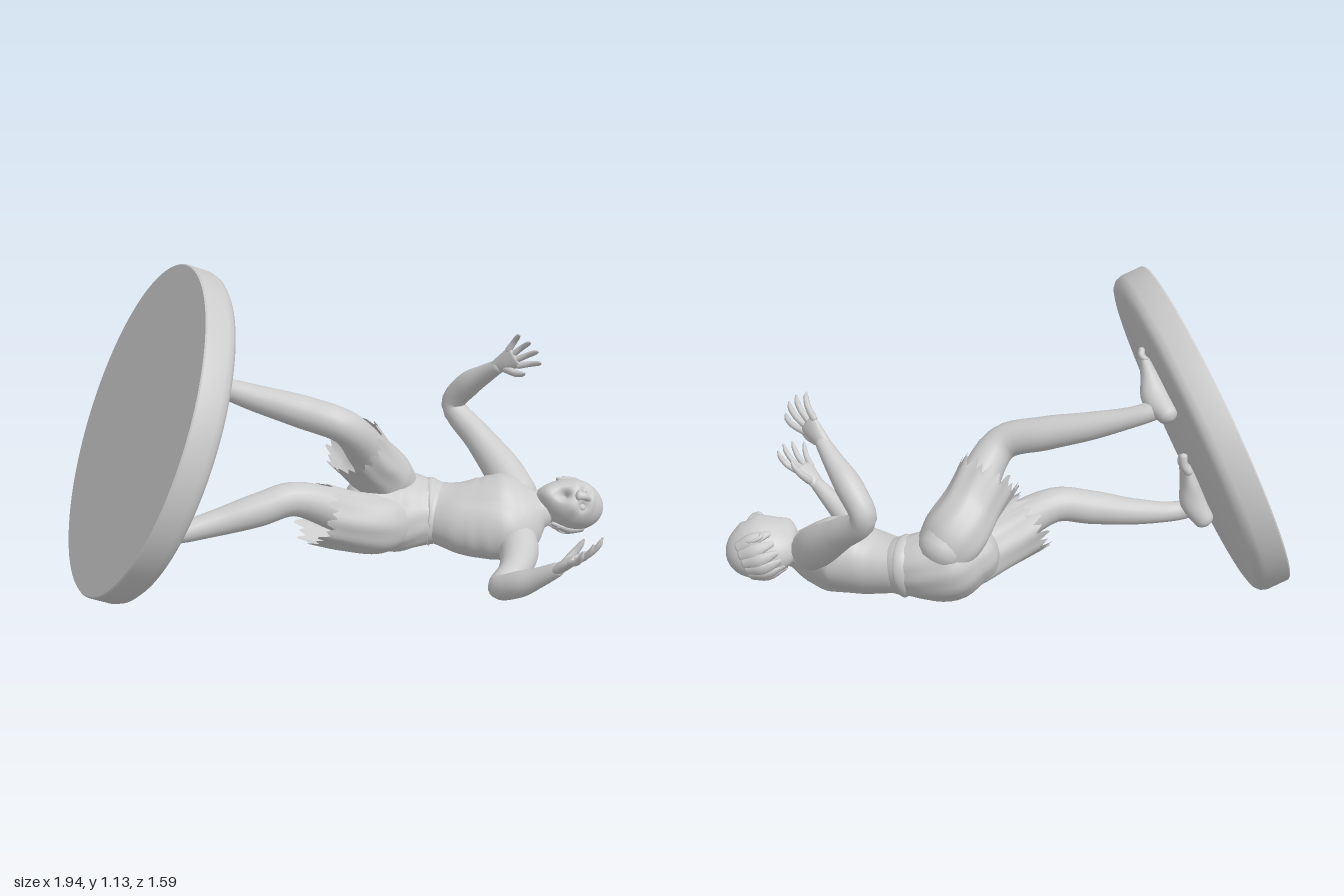
import * as THREE from 'three';
import { toCreasedNormals } from 'three/addons/utils/BufferGeometryUtils.js';

const V = (x, y, z) => new THREE.Vector3(x, y, z);
const material = new THREE.MeshStandardMaterial({ color: 0xcccccc });
const clothMaterial = new THREE.MeshStandardMaterial({ color: 0xcccccc, side: THREE.DoubleSide });

// The figure's own axes: it stands on a tilted disc
const UP = V(0.615, -0.37, -0.69).normalize();
const FRONT = V(0.73, 0.64, 0.31).normalize();

function add(parent, name, geometry, mat = material) {
  const mesh = new THREE.Mesh(geometry, mat);
  mesh.name = name;
  parent.add(mesh);
  return mesh;
}

// Smooth body along points [x, y, z, halfWidth, halfDepth]; depth lies towards the hint.
// bump(u, angle) scales the radius; ragged > 0 leaves the ends open with a torn hem.
function loft(points, hint, { sides = 20, steps = 5, bump = () => 1, ragged = 0 } = {}) {
  const curve = new THREE.CatmullRomCurve3(points.map(p => V(p[0], p[1], p[2])));
  const size = new THREE.CatmullRomCurve3(points.map(p => V(p[3], p[4] ?? p[3], 0)));
  const n = (points.length - 1) * steps, rings = [];
  for (let i = 0; i <= n; i++) {
    const u = i / n, s = size.getPoint(u);
    rings.push({ u, c: curve.getPoint(u), t: curve.getTangent(u), a: s.x, b: s.y });
  }
  if (!ragged) {
    const cap = (r, dir, k) => {
      const w = k * Math.PI / 8, m = Math.min(r.a, r.b) * 0.8, f = Math.max(Math.cos(w), 0.01);
      return { ...r, c: r.c.clone().addScaledVector(r.t, dir * m * Math.sin(w)), a: r.a * f, b: r.b * f };
    };
    const first = rings[0], last = rings[n];
    for (let k = 1; k <= 4; k++) {
      rings.unshift(cap(first, -1, k));
      rings.push(cap(last, 1, k));
    }
  }
  const pos = [], index = [];
  rings.forEach((r, i) => {
    const side = r.t.clone().cross(hint).normalize(), depth = side.clone().cross(r.t);
    for (let j = 0; j < sides; j++) {
      const w = j / sides * Math.PI * 2, k = bump(r.u, w);
      const p = r.c.clone().addScaledVector(depth, r.b * k * Math.cos(w)).addScaledVector(side, r.a * k * Math.sin(w));
      if (ragged && i === rings.length - 1) p.addScaledVector(r.t, ragged * [1, -0.6, 0.4, -1, 0.7][j % 5]);
      pos.push(p.x, p.y, p.z);
      if (i < rings.length - 1) {
        const q = i * sides + j, s = i * sides + (j + 1) % sides;
        index.push(q, s, q + sides, s, s + sides, q + sides);
      }
    }
  });
  const g = new THREE.BufferGeometry();
  g.setAttribute('position', new THREE.Float32BufferAttribute(pos, 3));
  g.setIndex(index);
  g.computeVertexNormals();
  return g;
}

const row = (v, a, b = a) => [v.x, v.y, v.z, a, b];
const hill = (d, w) => Math.exp(-(d * d) / (w * w));

function makeBase() {
  const R = 0.588;
  const profile = [[0, -0.06], [R - 0.004, -0.06], [R, -0.055], [R, 0.02], [R - 0.007, 0.041], [R - 0.022, 0.055], [R - 0.04, 0.06], [0, 0.06]];
  const g = new THREE.LatheGeometry(profile.map(p => new THREE.Vector2(...p)), 96);
  const base = new THREE.Mesh(toCreasedNormals(g, 0.6), material);
  base.name = 'roundBase';
  base.quaternion.setFromUnitVectors(V(0, 1, 0), UP);
  base.position.set(-0.5, 0.57, 0.33);
  return base;
}

// Foot lying on the disc, pointing from heel to toe
function makeFoot(name, heel, toe, big) {
  const foot = new THREE.Group();
  foot.name = name;
  const dir = toe.clone().sub(heel).normalize(), side = dir.clone().cross(UP);
  const at = (t, h) => heel.clone().lerp(toe, t).addScaledVector(UP, h);
  add(foot, 'sole', loft([row(at(0.08, 0.035), 0.034, 0.036), row(at(0.35, 0.045), 0.037, 0.045),
    row(at(0.6, 0.03), 0.047, 0.032), row(at(0.8, 0.02), 0.05, 0.02)], UP));
  for (let i = 0; i < 5; i++) {
    const off = (i - 2) * 0.021 * big, r = i === 0 ? 0.015 : 0.011;
    const a = at(0.78, 0.018).addScaledVector(side, off), b = at(1 - i * 0.025, 0.014).addScaledVector(side, off * 1.15);
    add(foot, 'toe', loft([row(a, r), row(a.clone().lerp(b, 0.5).addScaledVector(UP, 0.008), r), row(b, r)], UP, { sides: 10, steps: 3 }));
  }
  return foot;
}

// Open hand with clawed fingers; thumb points along the side axis
function makeHand(name, wrist, dir, palm, thumbSide) {
  const hand = new THREE.Group();
  hand.name = name;
  dir.normalize();
  const side = dir.clone().cross(palm).normalize().multiplyScalar(thumbSide);
  const normal = palm.clone().normalize();
  const at = (l, s, h) => wrist.clone().addScaledVector(dir, l).addScaledVector(side, s).addScaledVector(normal, h);
  add(hand, 'palm', loft([row(at(-0.02, 0, 0), 0.024, 0.02), row(at(0.03, 0, 0), 0.034, 0.019), row(at(0.075, 0, 0), 0.042, 0.014)], normal));
  [0.1, 0.115, 0.108, 0.085].forEach((len, i) => {
    const s = (1.5 - i) * 0.022;
    add(hand, 'finger', loft([row(at(0.07, s, 0), 0.012), row(at(0.07 + len * 0.45, s * 1.5, -0.006), 0.0105),
      row(at(0.07 + len * 0.8, s * 1.8, 0.004), 0.009), row(at(0.07 + len, s * 1.9, 0.018), 0.003)], normal, { sides: 10, steps: 3 }));
  });
  add(hand, 'thumb', loft([row(at(0.02, 0.022, 0.004), 0.016), row(at(0.055, 0.05, 0.02), 0.013),
    row(at(0.085, 0.062, 0.032), 0.01), row(at(0.105, 0.064, 0.042), 0.003)], normal, { sides: 10, steps: 3 }));
  return hand;
}

function makeHead() {
  const head = new THREE.Group();
  head.name = 'head';
  const z = V(0.72, 0.5, 0.45).normalize();
  const y = UP.clone().addScaledVector(z, -UP.dot(z)).normalize();
  head.quaternion.setFromRotationMatrix(new THREE.Matrix4().makeBasis(y.clone().cross(z), y, z));
  head.position.set(0.605, 0.212, -0.685);

  // Skull with narrow jaw, sockets, cheekbones and gaping mouth
  const skull = new THREE.SphereGeometry(1, 56, 44), p = skull.attributes.position;
  for (let i = 0; i < p.count; i++) {
    const v = V(0, 0, 0).fromBufferAttribute(p, i), x = Math.abs(v.x), f = v.z > 0 ? 1 : 0;
    const low = Math.max(0, -v.y);
    let k = 1 + f * (0.07 * hill(v.y - 0.27, 0.12) * hill(x, 0.6) + 0.06 * hill(x - 0.5, 0.2) * hill(v.y + 0.18, 0.15)
      - 0.17 * hill(x - 0.32, 0.17) * hill(v.y - 0.06, 0.13) - 0.38 * hill(x, 0.22) * hill(v.y + 0.56, 0.16)
      + 0.1 * hill(x, 0.4) * hill(v.y + 0.88, 0.15));
    p.setXYZ(i, v.x * k * 0.092 * (1 - 0.22 * low), v.y * k * 0.126, v.z * k * 0.108 - 0.02 * low * (1 - f));
  }
  skull.computeVertexNormals();
  add(head, 'skull', skull);
  add(head, 'nose', loft([[0, 0.025, 0.103, 0.01], [0, -0.005, 0.118, 0.014], [0, -0.025, 0.115, 0.019, 0.014]], V(0, 0, 1), { sides: 12 }));
  for (const s of [-1, 1]) {
    const ear = add(head, 'ear', new THREE.TorusGeometry(0.02, 0.007, 8, 20));
    ear.scale.set(0.75, 1.3, 1);
    ear.position.set(s * 0.094, 0, -0.012);
    ear.rotation.y = s * 1.2;
    add(head, 'eye', new THREE.SphereGeometry(0.014, 14, 10)).position.set(s * 0.03, 0.008, 0.083);
  }
  // Ragged fringe of hair around the back
  for (let i = 0; i < 9; i++) {
    const w = Math.PI + (i - 4) * 0.36, x = Math.sin(w), zz = Math.cos(w);
    add(head, 'hairLock', loft([[x * 0.076, 0.065, zz * 0.085, 0.02, 0.012], [x * 0.092, 0.015, zz * 0.108, 0.024, 0.013],
      [x * 0.085, -0.05, zz * 0.104, 0.01, 0.007]], V(x, 0, zz), { sides: 10, steps: 4 }));
  }
  return head;
}

export function createModel() {
  const model = new THREE.Group();
  model.name = 'figureOnBase';
  model.add(makeBase());

  // Torso with chest muscles, ribs and a spine groove
  add(model, 'torso', loft([[0.06, 0.18, -0.38, 0.13, 0.11], [0.17, 0.172, -0.45, 0.115, 0.095], [0.3, 0.165, -0.485, 0.143, 0.115],
    [0.41, 0.175, -0.53, 0.16, 0.122], [0.475, 0.185, -0.575, 0.14, 0.095], [0.52, 0.197, -0.615, 0.07, 0.06]], FRONT, {
    sides: 64, steps: 10, bump: (u, w) => {
      const front = Math.min(w, Math.PI * 2 - w), back = Math.PI - front;
      return 1 - 0.06 * hill(back, 0.2) - 0.05 * hill(front, 0.15) * hill(u - 0.6, 0.2)
        + 0.05 * hill(front - 0.6, 0.4) * hill(u - 0.66, 0.09) + 0.05 * hill(back - 0.6, 0.35) * hill(u - 0.66, 0.14)
        + 0.012 * Math.sin(u * 75) * hill(front - 1.2, 0.6) * hill(u - 0.45, 0.14);
    }
  }));
  add(model, 'neck', loft([[0.47, 0.19, -0.575, 0.085, 0.06], [0.53, 0.2, -0.625, 0.056], [0.59, 0.205, -0.67, 0.053]], FRONT));
  model.add(makeHead());

  // Torn shorts: seat, waistband and two flared legs
  const folds = (u, w) => 1 + 0.035 * u * Math.sin(w * 9) + 0.02 * Math.sin(w * 4 + u * 5);
  add(model, 'shortsSeat', loft([[-0.01, 0.215, -0.29, 0.11, 0.1], [0.05, 0.185, -0.36, 0.155, 0.128], [0.11, 0.178, -0.41, 0.142, 0.116],
    [0.165, 0.173, -0.447, 0.122, 0.1]], FRONT, { sides: 40, bump: (u, w) => 1 + 0.015 * Math.sin(w * 11 + u * 4) }));
  add(model, 'waistband', loft([[0.155, 0.173, -0.44, 0.122, 0.1], [0.167, 0.173, -0.447, 0.129, 0.107], [0.18, 0.172, -0.453, 0.122, 0.1]], FRONT, { sides: 40 }));
  const legCloth = { sides: 50, steps: 7, bump: folds, ragged: 0.026 };
  add(model, 'rightShortsLeg', loft([[0.05, 0.23, -0.42, 0.08, 0.09], [0.02, 0.31, -0.36, 0.105, 0.11], [0.01, 0.39, -0.27, 0.102, 0.102],
    [0, 0.465, -0.195, 0.105, 0.105]], FRONT, legCloth), clothMaterial);
  add(model, 'leftShortsLeg', loft([[0.1, 0.15, -0.36, 0.08, 0.09], [0.05, 0.165, -0.26, 0.108, 0.112], [-0.01, 0.2, -0.15, 0.105, 0.105],
    [-0.065, 0.245, -0.05, 0.107, 0.107]], FRONT, legCloth), clothMaterial);

  // Bent legs and bare feet
  add(model, 'rightLeg', loft([[0.03, 0.27, -0.42, 0.085], [0.015, 0.42, -0.27, 0.075], [0, 0.555, -0.125, 0.06], [-0.13, 0.605, -0.06, 0.058],
    [-0.28, 0.65, 0.01, 0.047], [-0.42, 0.7, 0.085, 0.034], [-0.47, 0.725, 0.135, 0.035]], FRONT));
  add(model, 'leftLeg', loft([[0.08, 0.14, -0.32, 0.085], [-0.02, 0.23, -0.15, 0.077], [-0.13, 0.305, 0.005, 0.06], [-0.21, 0.28, 0.1, 0.059],
    [-0.32, 0.245, 0.22, 0.046], [-0.42, 0.225, 0.345, 0.034], [-0.47, 0.245, 0.395, 0.035]], FRONT));
  model.add(makeFoot('rightFoot', V(-0.545, 0.715, 0.13), V(-0.325, 0.86, 0.245), 1));
  model.add(makeFoot('leftFoot', V(-0.535, 0.195, 0.41), V(-0.42, 0.445, 0.375), -1));

  // Arms reaching out, with shoulder and forearm swelling
  add(model, 'rightArm', loft([[0.43, 0.23, -0.62, 0.075], [0.35, 0.295, -0.665, 0.07], [0.23, 0.39, -0.7, 0.054], [0.11, 0.495, -0.72, 0.044],
    [0.17, 0.58, -0.71, 0.046], [0.25, 0.64, -0.69, 0.035], [0.315, 0.685, -0.67, 0.025]], UP));
  add(model, 'leftArm', loft([[0.47, 0.13, -0.52, 0.075], [0.53, 0.095, -0.44, 0.07], [0.57, 0.07, -0.32, 0.054], [0.575, 0.052, -0.21, 0.044],
    [0.65, 0.085, -0.185, 0.046], [0.73, 0.13, -0.18, 0.035], [0.8, 0.175, -0.178, 0.025]], UP));
  model.add(makeHand('rightHand', V(0.32, 0.69, -0.668), V(0.15, 0.1, 0.015), V(0, -0.15, 1), 1));
  model.add(makeHand('leftHand', V(0.805, 0.18, -0.178), V(0.19, 0.14, 0.005), V(-0.6, 0.8, 0), -1));
  return model;
}
